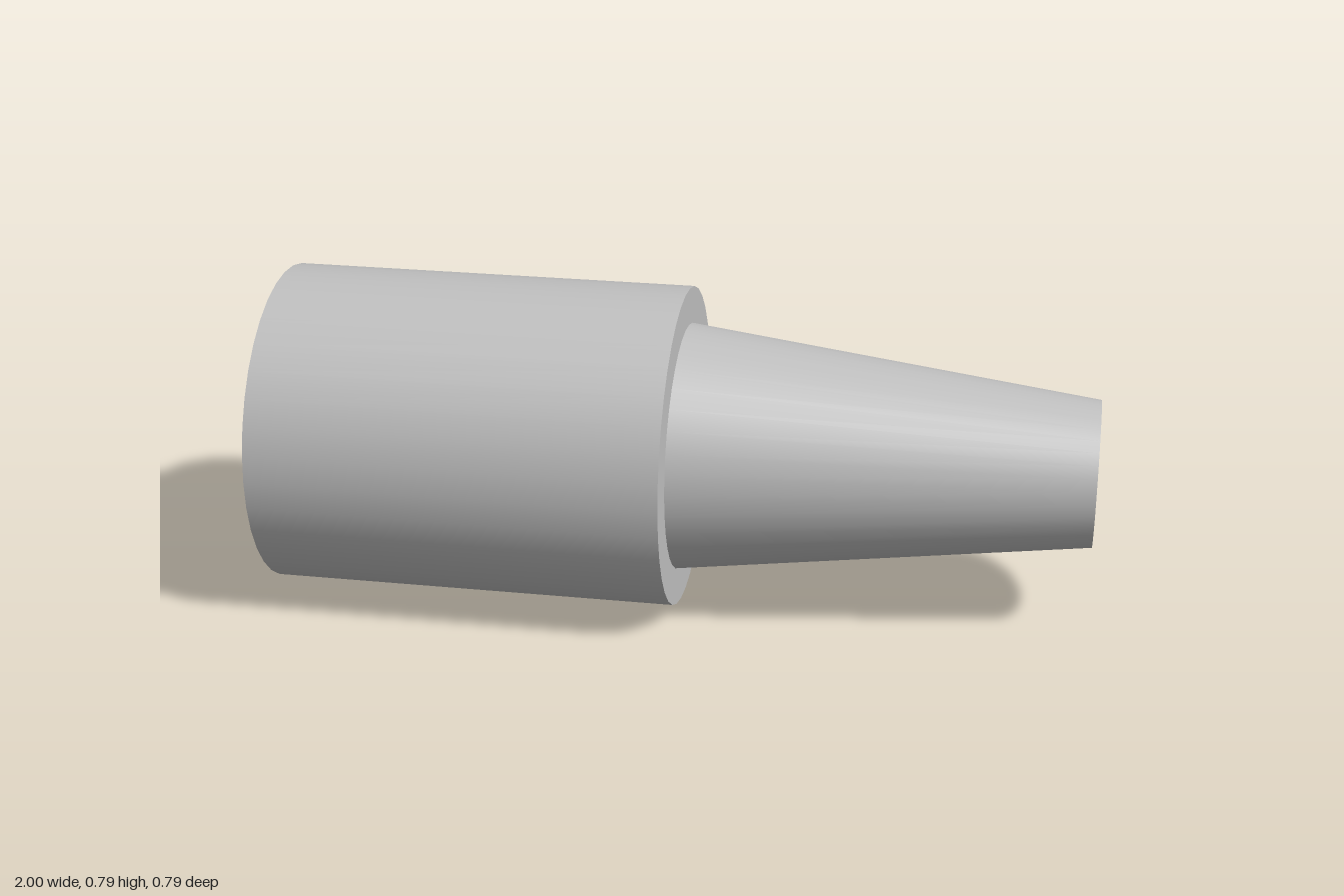
import * as THREE from 'three';

const SIDES = 36;

export function createModel() {
  const model = new THREE.Group();
  model.name = 'taperedSleeve';
  const metal = new THREE.MeshStandardMaterial({ color: 0xc0c0c0 });
  metal.name = 'light grey metal';

  // Each face is its own surface of revolution about x, so the rims stay sharp.
  // Profile points are [x along the axis, radius], walked from the bore floor to the tip.
  const profile = [
    ['boreFloor', -0.8, 0],
    ['boreWall', -0.8, 0.207],
    ['backRing', -1, 0.207],
    ['body', -1, 0.393],
    ['shoulder', 0, 0.393],
    ['taper', 0, 0.303],
    ['tip', 1, 0.178],
    ['end', 1, 0],
  ];

  for (let i = 0; i < profile.length - 1; i++) {
    const [name, x0, r0] = profile[i];
    const [, x1, r1] = profile[i + 1];
    const points = [new THREE.Vector2(r0, x0), new THREE.Vector2(r1, x1)];
    const geometry = new THREE.LatheGeometry(points, SIDES);
    geometry.rotateZ(-Math.PI / 2);
    const mesh = new THREE.Mesh(geometry, metal);
    mesh.name = name;
    mesh.position.y = 0.393;
    model.add(mesh);
  }
  return model;
}
